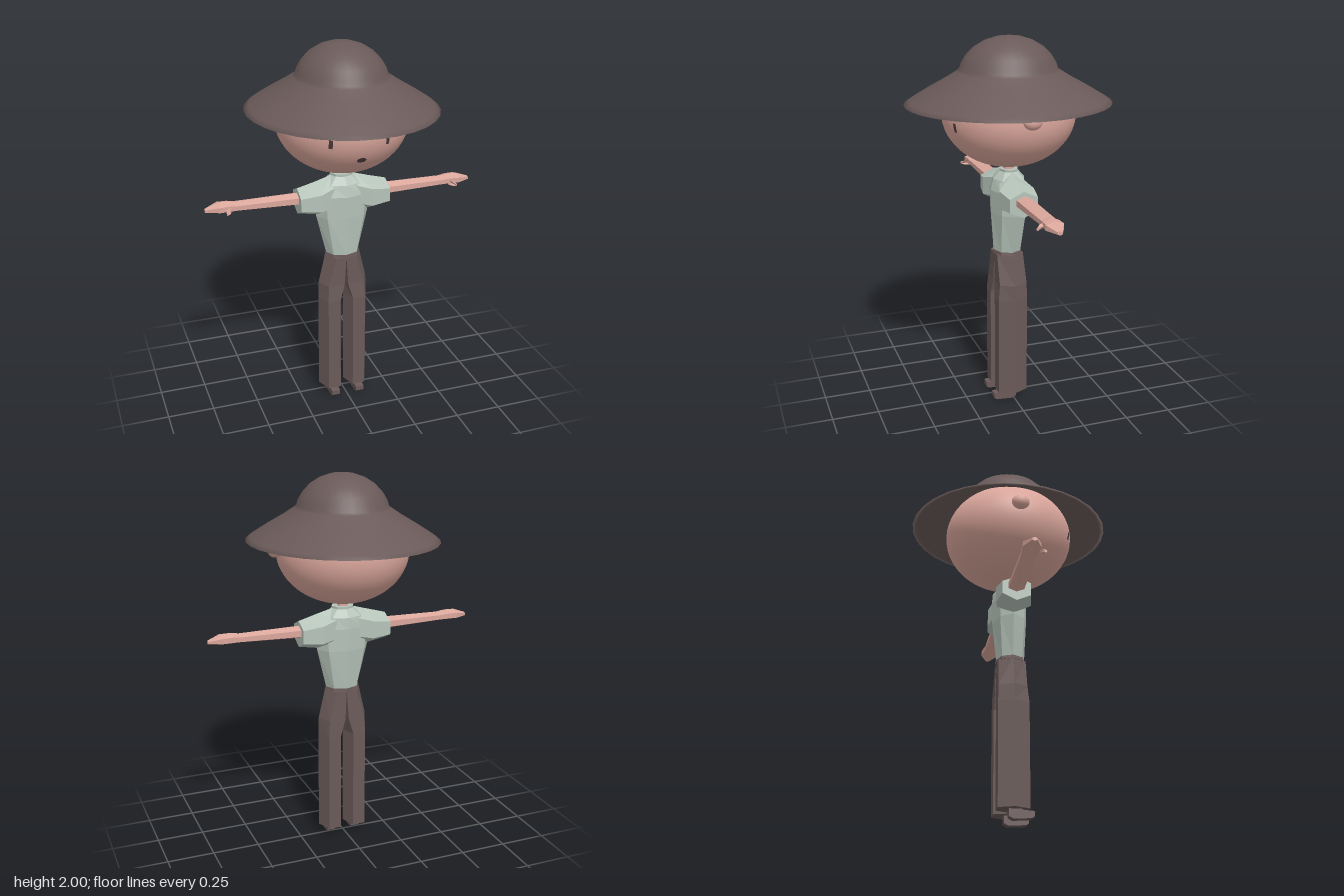
import * as THREE from 'three';

const material = (name, color, extra = {}) => {
  const m = new THREE.MeshStandardMaterial({ color, ...extra });
  m.name = name;
  return m;
};

// Closed, flat-faceted skin over a list of rings (arrays of [x, y, z]), faces turned outward.
function loft(rings) {
  const tris = [];
  const n = rings[0].length;
  for (let r = 0; r < rings.length - 1; r++) {
    const a = rings[r], b = rings[r + 1];
    for (let i = 0; i < n; i++) {
      const j = (i + 1) % n;
      tris.push([a[i], a[j], b[j]], [a[i], b[j], b[i]]);
    }
  }
  const first = rings[0], last = rings[rings.length - 1];
  for (let i = 1; i < n - 1; i++) {
    tris.push([first[0], first[i + 1], first[i]], [last[0], last[i], last[i + 1]]);
  }
  const v = (p) => new THREE.Vector3(...p);
  const volume = tris.reduce((s, [a, b, c]) => s + v(a).dot(v(b).cross(v(c))), 0);
  if (volume < 0) tris.forEach((t) => t.reverse());
  const g = new THREE.BufferGeometry();
  g.setAttribute('position', new THREE.Float32BufferAttribute(tris.flat(2), 3));
  g.computeVertexNormals();
  return g;
}

// Hexagon across the x axis with a ridge on top and flat front and back.
const armRing = (x, y, h, d, z = 0) => [
  [x, y + h, z], [x, y + h * 0.5, z + d], [x, y - h * 0.5, z + d],
  [x, y - h, z], [x, y - h * 0.5, z - d], [x, y + h * 0.5, z - d],
];

// Level eight-sided ring.
const torsoRing = (y, rx, rz, cz = 0) => Array.from({ length: 8 }, (_, i) => {
  const a = i * Math.PI / 4;
  return [Math.cos(a) * rx, y, cz + Math.sin(a) * rz];
});

// Level six-sided ring for half of the trousers.
const legRing = (s, y, outer, frontOuter, frontInner, inner, front, back) => [
  [s * outer, y, 0.01], [s * frontOuter, y, front], [s * frontInner, y, front],
  [s * inner, y, 0.01], [s * frontInner, y, back], [s * frontOuter, y, back],
];

const HEAD = { y: 1.61, rx: 0.345, ry: 0.28, rz: 0.348 };

// Lays a flat shape onto the front of the head.
function onFace(geometry, x, y) {
  geometry.translate(x, y, 0);
  const p = geometry.attributes.position;
  for (let i = 0; i < p.count; i++) {
    const u = p.getX(i) / HEAD.rx, w = (p.getY(i) - HEAD.y) / HEAD.ry;
    p.setZ(i, HEAD.rz * Math.sqrt(1 - u * u - w * w) + 0.004);
  }
  geometry.computeVertexNormals();
  return geometry;
}

export function createModel() {
  const model = new THREE.Group();
  model.name = 'figure';
  const skin = material('skin', 0xdba79c);
  const shirt = material('shirt', 0xb6c4ba);
  const cloth = material('dark cloth', 0x6a5a59, { side: THREE.DoubleSide });
  const ink = material('face marks', 0x4a3a39, { side: THREE.DoubleSide });

  const add = (name, geometry, mat) => {
    const mesh = new THREE.Mesh(geometry, mat);
    mesh.name = name;
    model.add(mesh);
    return mesh;
  };

  // Head and neck
  const head = add('head', new THREE.SphereGeometry(1, 48, 32), skin);
  head.scale.set(HEAD.rx, HEAD.ry, HEAD.rz);
  head.position.y = HEAD.y;
  add('neck', loft([torsoRing(1.28, 0.032, 0.032), torsoRing(1.36, 0.03, 0.03)]), skin);

  // Face
  add('rightEye', onFace(new THREE.PlaneGeometry(0.018, 0.045, 2, 4), -0.16, 1.575), ink);
  add('leftEye', onFace(new THREE.PlaneGeometry(0.018, 0.045, 2, 4), 0.127, 1.575), ink);
  const mouth = new THREE.CircleGeometry(1, 8).scale(0.026, 0.015, 1);
  add('mouth', onFace(mouth, -0.003, 1.48), ink);

  // Wide-brimmed hat: underside, rim, brim, then dome
  const profile = [
    [0.25, 1.8], [0.475, 1.662], [0.495, 1.66], [0.47, 1.678], [0.39, 1.73], [0.307, 1.78],
    [0.245, 1.822], [0.233, 1.835], [0.226, 1.86], [0.203, 1.9], [0.165, 1.942],
    [0.115, 1.974], [0.06, 1.993], [0, 2],
  ].map(([x, y]) => new THREE.Vector2(x, y));
  const hat = add('hat', new THREE.LatheGeometry(profile, 32), cloth);
  hat.scale.z = 1.09;

  // Shirt body and collar
  add('shirtBody', loft([
    torsoRing(0.86, 0.09, 0.075, 0.01), torsoRing(1.08, 0.143, 0.092, 0.005),
    torsoRing(1.2, 0.15, 0.095, 0.005), torsoRing(1.26, 0.11, 0.085),
    torsoRing(1.305, 0.055, 0.045),
  ]), shirt);
  add('collar', loft([torsoRing(1.295, 0.06, 0.05), torsoRing(1.312, 0.062, 0.05)]), shirt);

  // Waistband
  add('waistband', loft([
    torsoRing(0.846, 0.1, 0.08, 0.01), torsoRing(0.866, 0.094, 0.078, 0.01),
  ]), cloth);

  for (const [s, side] of [[1, 'left'], [-1, 'right']]) {
    const ear = add(side + 'Ear', new THREE.SphereGeometry(1, 20, 14), skin);
    ear.scale.set(0.037, 0.04, 0.048);
    ear.position.set(s * 0.365, 1.632, 0.003);

    // Sleeve
    add(side + 'Sleeve', loft([
      armRing(s * 0.06, 1.2, 0.1, 0.07), armRing(s * 0.14, 1.183, 0.094, 0.094, 0.004),
      armRing(s * 0.245, 1.178, 0.07, 0.076, 0.002),
    ]), shirt);

    // Arm tapering into a pointed mitten hand
    add(side + 'Arm', loft([
      armRing(s * 0.2, 1.19, 0.034, 0.042), armRing(s * 0.57, 1.194, 0.024, 0.038),
      armRing(s * 0.61, 1.197, 0.028, 0.042), armRing(s * 0.66, 1.197, 0.027, 0.046),
      armRing(s * 0.73, 1.188, 0.011, 0.012),
    ]), skin);
    add(side + 'Thumb', loft([
      armRing(s * 0.6, 1.19, 0.014, 0.012, 0.035).map(([x, y, z], i) => [x + s * (i % 3) * 0.01, y, z]),
      armRing(s * 0.612, 1.187, 0.012, 0.009, 0.06).map(([x, y, z], i) => [x + s * (i % 3) * 0.008, y, z]),
      armRing(s * 0.632, 1.184, 0.008, 0.006, 0.074),
    ]), skin);

    // Trouser leg
    add(side + 'TrouserLeg', loft([
      legRing(s, 0.05, 0.138, 0.105, 0.036, 0.006, 0.092, -0.07),
      legRing(s, 0.6, 0.138, 0.105, 0.036, 0.006, 0.092, -0.07),
      legRing(s, 0.69, 0.135, 0.1, 0.01, 0, 0.083, -0.068),
      legRing(s, 0.85, 0.098, 0.055, 0, 0, 0.083, -0.062),
    ]), cloth);

    // Shoe
    const sole = [[-0.012, 0.012], [0.01, 0], [0.1, 0.006], [0.115, 0.016], [0.115, 0.042],
      [0.06, 0.045], [0.04, 0.065], [-0.012, 0.065]];
    const shoeSide = (x) => sole.map(([z, y]) => [s * x, y, z]);
    add(side + 'Shoe', loft([shoeSide(0.048), shoeSide(0.094)]), cloth);
  }
  return model;
}
